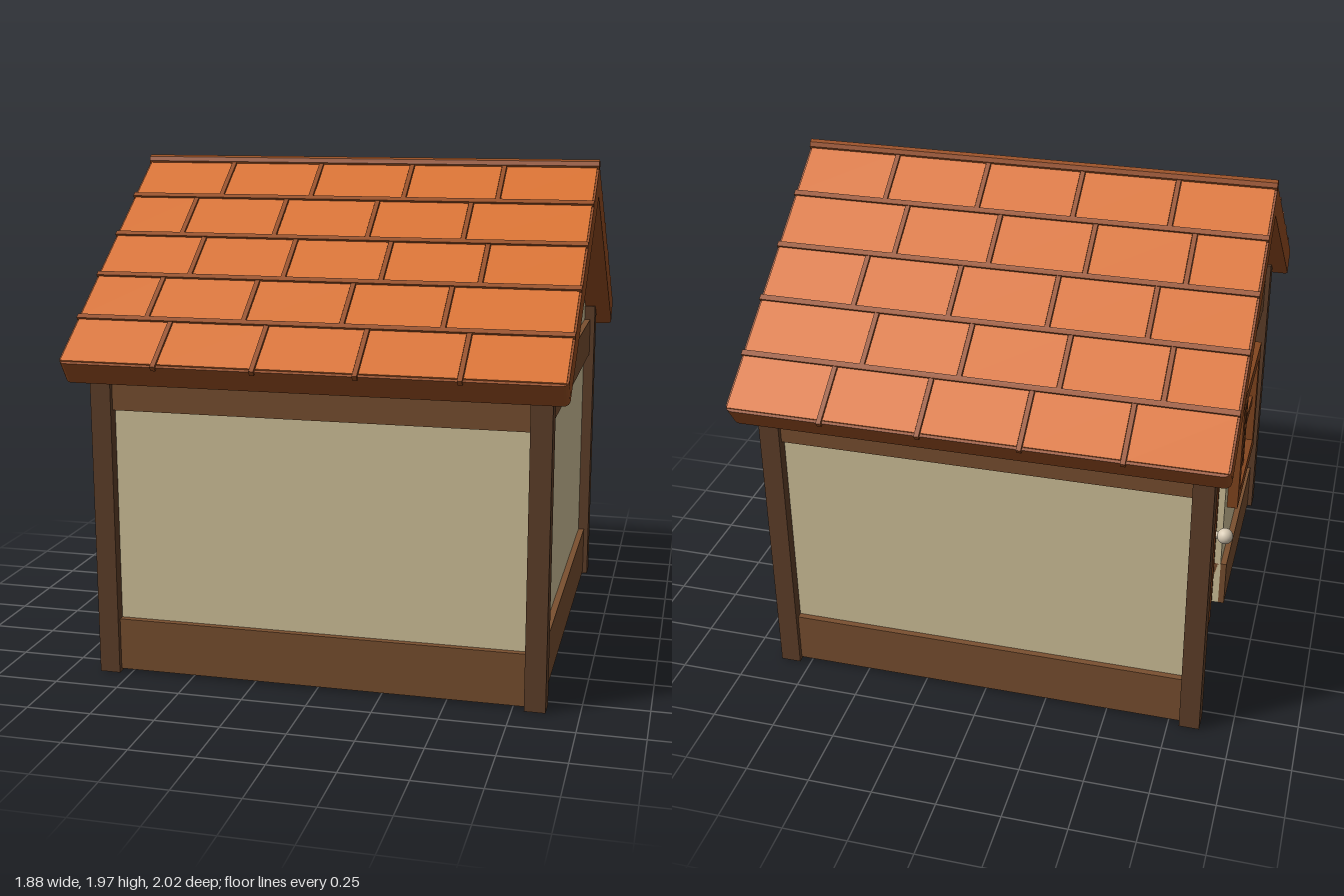
import * as THREE from 'three';

const paint = (color) => new THREE.MeshStandardMaterial({ color, flatShading: true });

export function createModel() {
  const house = new THREE.Group();
  const plaster = paint(0xd5c69d), beamWood = paint(0x7a5030), postWood = paint(0x60402a);
  const tileClay = paint(0xdc7330), roofWood = paint(0x984e22), doorWood = paint(0x84461f);
  const grooveWood = paint(0x3c2010), glass = paint(0x78a8c2), knobPaint = paint(0xd8cbb5);

  const add = (parent, name, geometry, material) => {
    const mesh = new THREE.Mesh(geometry, material);
    mesh.name = name;
    parent.add(mesh);
    return mesh;
  };
  // box given by its limits on each axis
  const box = (parent, name, material, x0, x1, y0, y1, z0, z1) => {
    const mesh = add(parent, name, new THREE.BoxGeometry(x1 - x0, y1 - y0, z1 - z0), material);
    mesh.position.set((x0 + x1) / 2, (y0 + y1) / 2, (z0 + z1) / 2);
    return mesh;
  };
  // outline of [z, y] points extruded along x from x0 to x1
  const slabX = (parent, name, material, points, x0, x1) => {
    const shape = new THREE.Shape(points.map(([z, y]) => new THREE.Vector2(z, y)));
    const geometry = new THREE.ExtrudeGeometry(shape, { depth: x1 - x0, bevelEnabled: false });
    geometry.rotateY(-Math.PI / 2).translate(x1, 0, 0);
    return add(parent, name, geometry, material);
  };

  // door opening: straight sides with a round arch
  const doorZ = -0.355, doorR = 0.315, spring = 0.685, floorY = 0.01;
  const archTop = (z) => spring + Math.sqrt(Math.max(0, doorR ** 2 - (z - doorZ) ** 2));
  const arch = [];
  for (let i = 0; i <= 24; i++) {
    const a = Math.PI * (1 - i / 24);
    arch.push([doorZ + doorR * Math.cos(a), spring + doorR * Math.sin(a)]);
  }
  const opening = [[doorZ - doorR, floorY], ...arch, [doorZ + doorR, floorY]];

  // plastered body, with a separate door wall on the -x side
  const wallZ = 0.815, eaveY = 1.29, peakY = 1.86;
  const gable = [[wallZ, floorY], [wallZ, eaveY], [0, peakY], [-wallZ, eaveY], [-wallZ, floorY]];
  slabX(house, 'walls', plaster, gable, -0.77, 0.83);
  slabX(house, 'doorWall', plaster, [...gable, ...opening], -0.83, -0.77);

  // timber frame
  const frame = new THREE.Group();
  frame.name = 'timberFrame';
  house.add(frame);
  for (const sx of [-1, 1]) {
    for (const sz of [-1, 1]) {
      const post = box(frame, 'cornerPost', postWood, -0.04, 0.04, 0, 1.27, -0.04, 0.04);
      post.position.x = sx * 0.835;
      post.position.z = sz * 0.82;
    }
  }
  for (const [y0, y1] of [[floorY, 0.215], [1.05, 1.21]]) {
    box(frame, 'frontBeam', beamWood, -0.8, 0.8, y0, y1, 0.8, 0.84);
    box(frame, 'backBeam', beamWood, -0.8, 0.8, y0, y1, -0.84, -0.8);
    box(frame, 'rightBeam', beamWood, 0.81, 0.855, y0, y1, -0.79, 0.79);
  }
  box(frame, 'doorSideTopBeam', beamWood, -0.855, -0.81, 1.05, 1.21, -0.79, 0.79);
  box(frame, 'doorSideBaseBeam', beamWood, -0.855, -0.77, floorY, 0.215, -0.79, doorZ - doorR);
  box(frame, 'doorSideBaseBeam', beamWood, -0.855, -0.77, floorY, 0.215, doorZ + doorR, 0.79);
  box(frame, 'gablePost', postWood, -0.855, -0.81, 1.21, 1.86, -0.05, 0.05);

  // plank door
  const door = new THREE.Group();
  door.name = 'door';
  house.add(door);
  slabX(door, 'doorBacking', grooveWood, opening, -0.785, -0.769);
  const plankWidth = (2 * doorR) / 5;
  for (let i = 0; i < 5; i++) {
    const z0 = doorZ - doorR + i * plankWidth + 0.005, z1 = z0 + plankWidth - 0.01;
    const outline = [[z0, floorY + 0.005]];
    for (let k = 0; k <= 8; k++) {
      const z = z0 + ((z1 - z0) * k) / 8;
      outline.push([z, archTop(z)]);
    }
    outline.push([z1, floorY + 0.005]);
    slabX(door, 'plank', doorWood, outline, i % 2 ? -0.815 : -0.803, -0.775);
  }
  const smoothKnob = knobPaint.clone();
  smoothKnob.flatShading = false;
  const knob = add(door, 'knob', new THREE.SphereGeometry(0.034, 20, 14), smoothKnob);
  knob.position.set(-0.85, 0.43, -0.14);
  const stem = add(door, 'knobStem', new THREE.CylinderGeometry(0.015, 0.015, 0.05, 12), smoothKnob);
  stem.rotation.z = Math.PI / 2;
  stem.position.set(-0.82, 0.43, -0.14);

  // four-pane window
  const win = new THREE.Group();
  win.name = 'window';
  house.add(win);
  const [wz0, wz1, wy0, wy1, rail] = [0.05, 0.6, 0.45, 0.98, 0.06];
  const midZ = (wz0 + wz1) / 2, midY = (wy0 + wy1) / 2;
  box(win, 'glass', glass, -0.842, -0.82, wy0 + 0.02, wy1 - 0.02, wz0 + 0.02, wz1 - 0.02);
  for (const z of [wz0, wz1 - rail]) box(win, 'windowStile', doorWood, -0.875, -0.82, wy0, wy1, z, z + rail);
  for (const y of [wy0, wy1 - rail]) box(win, 'windowRail', doorWood, -0.875, -0.82, y, y + rail, wz0 + rail, wz1 - rail);
  box(win, 'verticalBar', doorWood, -0.86, -0.82, wy0 + rail, wy1 - rail, midZ - 0.02, midZ + 0.02);
  box(win, 'horizontalBar', doorWood, -0.859, -0.82, midY - 0.02, midY + 0.02, wz0 + rail, wz1 - rail);

  // roof: each slope is built with local +z running down from the ridge
  const halfX = 0.94, ridgeY = 1.945, pitch = Math.atan(0.695), length = 1.213, corner = 0.03, rows = 5;
  const buildSlope = (name, side) => {
    const turn = new THREE.Group();
    turn.name = name;
    turn.rotation.y = side > 0 ? 0 : Math.PI;
    turn.position.y = ridgeY;
    house.add(turn);
    const slope = new THREE.Group();
    slope.rotation.x = pitch;
    turn.add(slope);

    const plan = new THREE.Shape();
    plan.moveTo(-halfX, 0);
    plan.lineTo(halfX, 0);
    plan.lineTo(halfX, length - corner);
    plan.quadraticCurveTo(halfX, length, halfX - corner, length);
    plan.lineTo(-halfX + corner, length);
    plan.quadraticCurveTo(-halfX, length, -halfX, length - corner);
    const board = new THREE.ExtrudeGeometry(plan, { depth: 0.1, bevelEnabled: false, curveSegments: 5 });
    add(slope, 'roofBoard', board.rotateX(Math.PI / 2), roofWood);

    const step = length / rows, half = 0.011;
    for (let r = 0; r < rows; r++) {
      const z0 = r * step, z1 = z0 + step, last = r === rows - 1;
      const joints = (r % 2 ? [-0.665, -0.285, 0.09, 0.465] : [-0.565, -0.19, 0.19, 0.565])
        .map((x) => x * side).sort((a, b) => a - b);
      const edges = [-halfX - 0.003, ...joints, halfX + 0.003];
      for (let i = 0; i < edges.length - 1; i++) {
        box(slope, 'tile', tileClay, edges[i] + half, edges[i + 1] - half, -0.01, 0.006, z0 + half, z1 - half);
      }
      for (const x of joints) {
        box(slope, 'tileJoint', roofWood, x - 0.009, x + 0.009, -0.01, 0.011, z0, z1 + (last ? 0.008 : 0));
      }
      if (!last) box(slope, 'rowStrip', roofWood, -halfX, halfX, -0.01, 0.014, z1 - half, z1 + half);
    }
  };
  buildSlope('frontRoof', 1);
  buildSlope('backRoof', -1);

  const ridge = add(house, 'ridgeCap', new THREE.CylinderGeometry(0.024, 0.024, 2 * halfX, 8), roofWood);
  ridge.rotation.z = Math.PI / 2;
  ridge.position.y = 1.945;
  return house;
}
